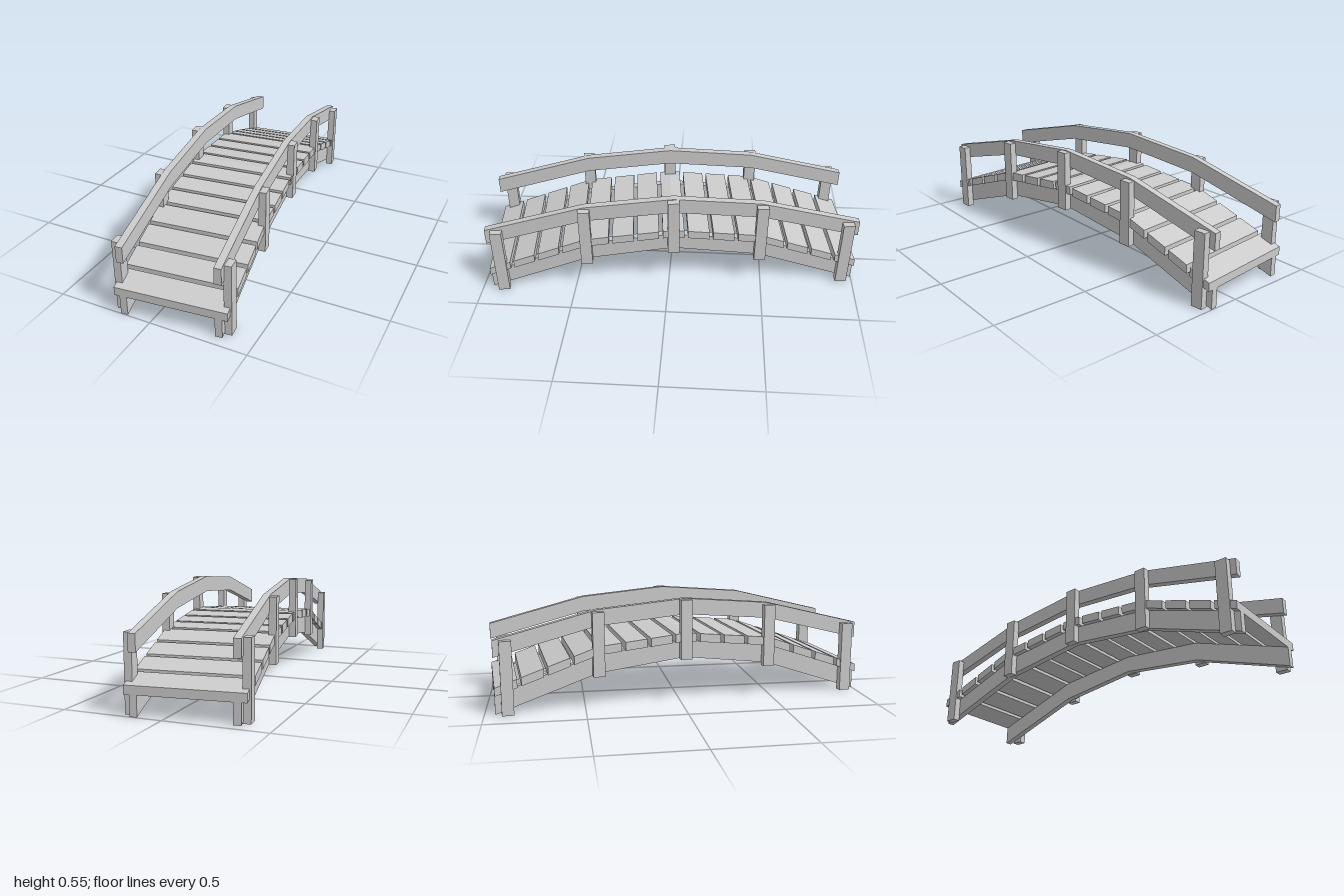
import * as THREE from 'three';

const END = 0.977;   // half length of the bridge
const KINK = 0.458;  // where the arch bends, also the post spacing
const material = new THREE.MeshStandardMaterial({ color: 0xcccccc, flatShading: true });

// Height along the faceted arch, given heights at the end, the bend and the crown
function archHeight([end, bend, crown], z) {
  const a = Math.abs(z);
  return a < KINK
    ? THREE.MathUtils.mapLinear(a, 0, KINK, crown, bend)
    : THREE.MathUtils.mapLinear(a, KINK, END, bend, end);
}

// Piece of the arch from z0 to z1, between two height profiles, width along x
function archStrip(name, low, high, width, z0 = -END, z1 = END) {
  const zs = [z0, ...[-KINK, 0, KINK].filter((z) => z > z0 && z < z1), z1];
  const points = [
    ...zs.map((z) => new THREE.Vector2(z, archHeight(low, z))),
    ...zs.reverse().map((z) => new THREE.Vector2(z, archHeight(high, z))),
  ];
  const geometry = new THREE.ExtrudeGeometry(new THREE.Shape(points), { depth: width, bevelEnabled: false });
  geometry.translate(0, 0, -width / 2).rotateY(-Math.PI / 2);
  const mesh = new THREE.Mesh(geometry, material);
  mesh.name = name;
  return mesh;
}

export function createModel() {
  const bridge = new THREE.Group();
  bridge.name = 'footbridge';

  const beamLow = [0, 0.178, 0.235];
  const deckLow = [0.1, 0.278, 0.325];
  const deckHigh = [0.143, 0.322, 0.369];
  const railLow = [0.29, 0.422, 0.462];
  const railHigh = [0.375, 0.505, 0.545];

  // Deck planks, with narrow gaps between
  const count = 15, gap = 0.02;
  const pitch = (2 * END + gap) / count;
  for (let i = 0; i < count; i++) {
    const z = -END + i * pitch;
    bridge.add(archStrip('plank', deckLow, deckHigh, 0.568, z, z + pitch - gap));
  }

  for (const [side, label] of [[1, 'left'], [-1, 'right']]) {
    // Supporting beam and handrail
    const beam = archStrip(label + 'Beam', beamLow, deckLow, 0.036);
    const rail = archStrip(label + 'Handrail', railLow, railHigh, 0.036);
    beam.position.x = rail.position.x = side * 0.239;
    bridge.add(beam, rail);

    // Posts on the outer faces: [step from the crown, bottom, top]
    for (const [step, bottom, top] of [[-2, 0, 0.375], [-1, 0.166, 0.496], [0, 0.228, 0.541], [1, 0.166, 0.496], [2, 0, 0.375]]) {
      const post = new THREE.Mesh(new THREE.BoxGeometry(0.038, top - bottom, 0.06), material);
      post.name = label + 'Post';
      post.position.set(side * 0.273, (top + bottom) / 2, step * KINK);
      bridge.add(post);
    }
  }

  // The bridge stands slightly turned
  bridge.rotation.y = 0.099;
  const model = new THREE.Group();
  model.add(bridge);
  return model;
}
